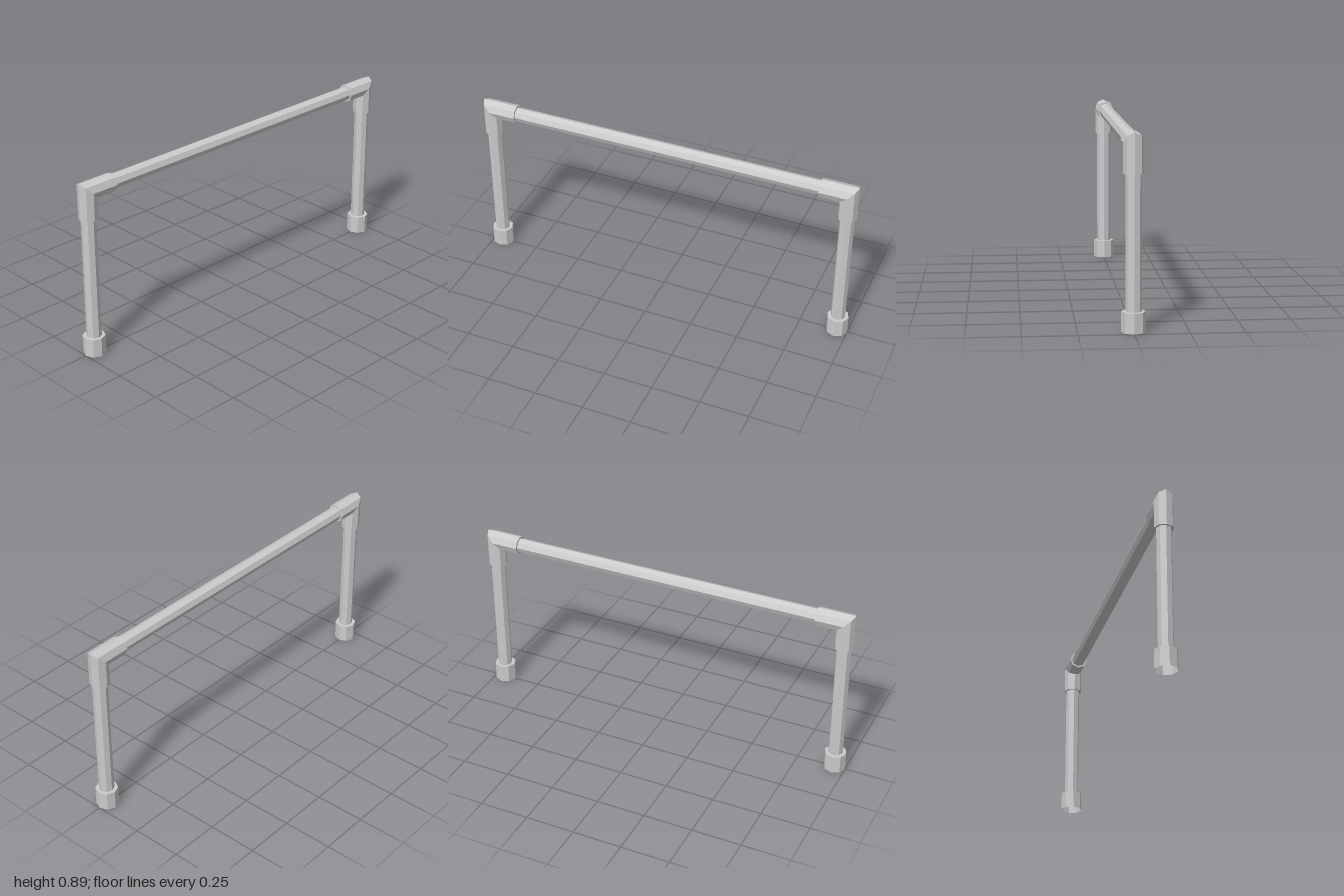
import * as THREE from 'three';

const SIDES = 8, PIPE_R = 0.037, FIT_R = 0.047, FOOT_R = 0.055;
const AXIS_Y = 0.848, AXIS_Z = 0.945; // centre lines of the rail and the legs

const material = new THREE.MeshStandardMaterial({
  color: 0xcccccc, flatShading: true, side: THREE.DoubleSide,
});

function part(name, geometry) {
  const mesh = new THREE.Mesh(geometry, material);
  mesh.name = name;
  return mesh;
}

// Octagonal pipe, open at both ends
function pipe(length) {
  return new THREE.CylinderGeometry(PIPE_R, PIPE_R, length, SIDES, 1, true);
}

// Mitred elbow: a cylinder whose rows are bent from the rail down to the leg
function elbowGeometry(railEnd, legEnd) {
  const geo = new THREE.CylinderGeometry(FIT_R, FIT_R, 1, SIDES, 4, true);
  const pos = geo.attributes.position;
  for (let i = 0; i < pos.count; i++) {
    const row = Math.floor(i / (SIDES + 1));
    // first and last rows close the lips onto the pipes
    const s = row === 0 || row === 4 ? PIPE_R / FIT_R : 1;
    const x = pos.getX(i) * s, w = pos.getZ(i) * s;
    const y = row > 2 ? legEnd : AXIS_Y + w;
    const z = row < 2 ? railEnd : AXIS_Z + w;
    pos.setXYZ(i, x, y, z);
  }
  geo.computeVertexNormals();
  return geo;
}

// Foot: open sleeve with a flat rim around the leg
function footGeometry(height) {
  const profile = [[FOOT_R, 0], [FOOT_R, height], [PIPE_R, height]];
  return new THREE.LatheGeometry(profile.map(p => new THREE.Vector2(...p)), SIDES);
}

export function createModel() {
  const model = new THREE.Group();
  model.name = 'pipeRail';

  const rail = part('rail', pipe(1.7));
  rail.rotation.x = Math.PI / 2;
  rail.position.y = AXIS_Y;
  model.add(rail);

  // Front and back supports
  for (const name of ['frontSupport', 'backSupport']) {
    const support = new THREE.Group();
    support.name = name;

    const bottom = 0.094, top = 0.78;
    const leg = part('leg', pipe(top - bottom));
    leg.position.set(0, (top + bottom) / 2, AXIS_Z);

    const foot = part('foot', footGeometry(bottom));
    foot.position.z = AXIS_Z;

    support.add(leg, foot, part('elbow', elbowGeometry(0.805, 0.71)));
    if (name === 'backSupport') support.rotation.y = Math.PI;
    model.add(support);
  }
  return model;
}
